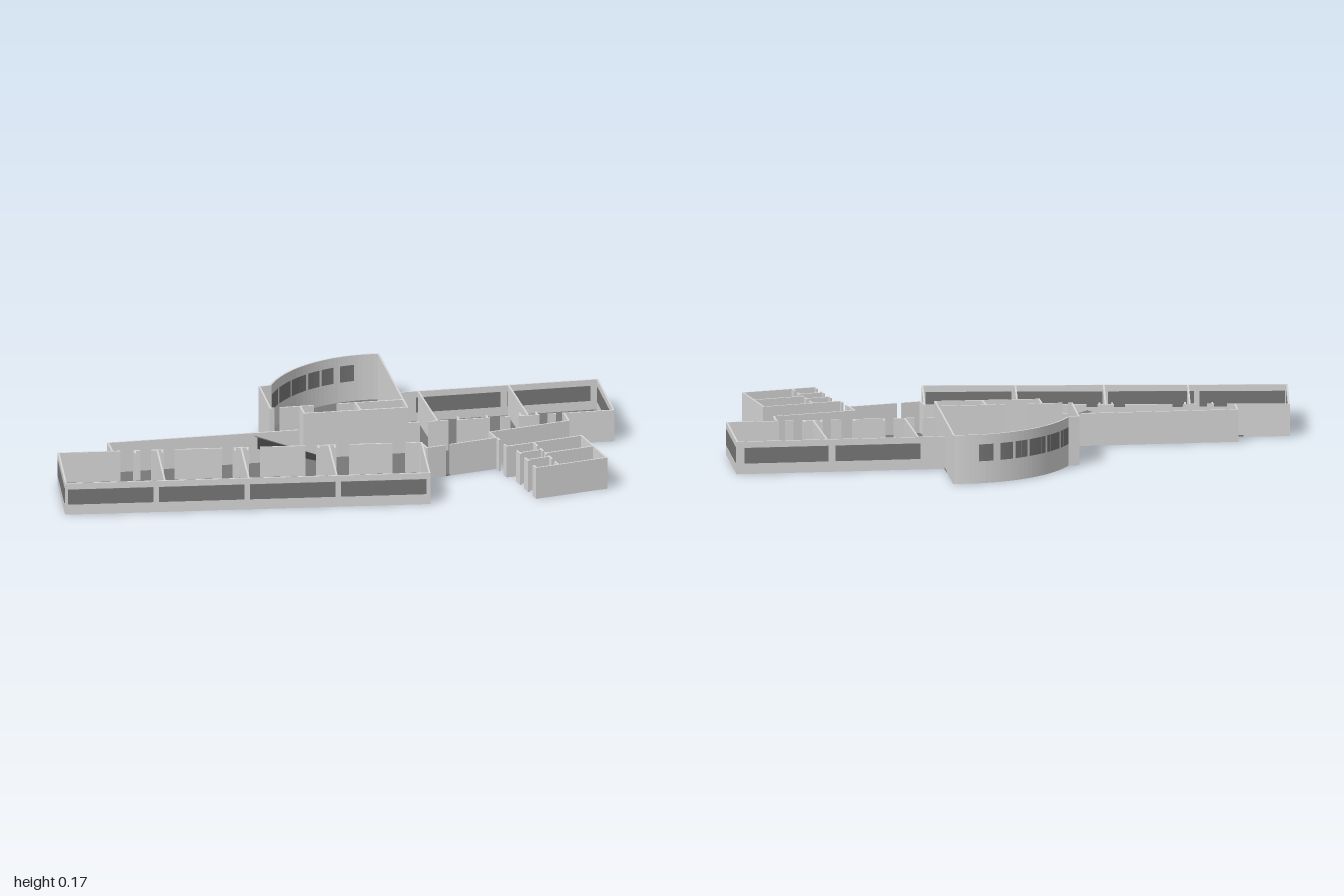
import * as THREE from 'three';

const LOW = 0.11, TALL = 0.165, T = 0.006;

export function createModel() {
  const model = new THREE.Group();
  model.name = 'openPlanBuilding';
  const mat = (name, color, side = THREE.FrontSide) => {
    const m = new THREE.MeshStandardMaterial({ color, side });
    m.name = name;
    return m;
  };
  const wallMat = mat('wallGrey', 0xd8d8d8);
  const floorMat = mat('floorGrey', 0x787878);
  const glassMat = mat('windowGrey', 0x787878);
  const rampMat = mat('rampGrey', 0x484848, THREE.DoubleSide);

  const lerp = (p, q, t) => [p[0] + (q[0] - p[0]) * t, p[1] + (q[1] - p[1]) * t];
  // Upright slab standing on the line p-q
  function slab(name, p, q, y0, y1, thick, material, extra = 0) {
    const dx = q[0] - p[0], dz = q[1] - p[1];
    const mesh = new THREE.Mesh(
      new THREE.BoxGeometry(Math.hypot(dx, dz) + extra, y1 - y0, thick), material);
    mesh.position.set((p[0] + q[0]) / 2, (y0 + y1) / 2, (p[1] + q[1]) / 2);
    mesh.rotation.y = -Math.atan2(dz, dx);
    mesh.name = name;
    model.add(mesh);
  }
  // Wall with optional door gaps, given as [from, to] fractions of its length
  function wall(name, p, q, h = LOW, gaps = []) {
    let t = 0;
    for (const [a, b] of [...gaps, [1, 1]]) {
      if (a > t) slab(name, lerp(p, q, t), lerp(p, q, a), 0, h, T, wallMat, gaps.length ? 0 : T * 0.8);
      t = b;
    }
  }
  const glass = (name, p, q, a, b, y0 = 0.036, y1 = 0.089) =>
    slab(name, lerp(p, q, a), lerp(p, q, b), y0, y1, T + 0.0035, glassMat);
  // Flat sheet from corner points
  function sheet(name, points, material) {
    const g = new THREE.BufferGeometry();
    g.setAttribute('position', new THREE.Float32BufferAttribute(points.flat(), 3));
    g.setIndex(points.length === 4 ? [0, 1, 2, 0, 2, 3] : [0, 1, 2]);
    g.computeVertexNormals();
    const mesh = new THREE.Mesh(g, material);
    mesh.name = name;
    model.add(mesh);
  }

  // Curved hall outline, by angle in degrees
  const onArc = (deg) => {
    const a = THREE.MathUtils.degToRad(deg);
    return [0.235 + 0.4 * Math.cos(a), -0.133 + 0.4 * Math.sin(a)];
  };
  const ARC0 = -142.5, ARC1 = -72, STEPS = 28;
  const arc = Array.from({ length: STEPS + 1 }, (_, i) => onArc(ARC0 + (ARC1 - ARC0) * i / STEPS));

  // Corners of the two wings
  const L = { fl: [-0.997, 0.08], fr: [0.157, 0.439], br: [0.238, 0.168], bl: [-0.914, -0.192] };
  const W = { bl: [0.32, -0.293], br: [0.997, -0.156], fr: [0.94, 0.128], fl: [0.262, -0.018] };
  const hallL = [-0.162, -0.18], hallR = [0.275, -0.09];
  const lobbyL = [-0.075, -0.094];
  const backL = [-0.727, -0.217], backR = [-0.1, -0.092];

  // Floor
  const outline = [L.fl, L.fr, L.br, [0.236, 0.222], [0.485, 0.222], [0.485, 0.164], [0.765, 0.164],
    [0.778, 0.093], W.fr, W.br, W.bl, ...arc.slice().reverse(), [-0.12, -0.38], hallL,
    [-0.08, -0.163], [-0.075, -0.09], backL, [-0.742, -0.142], L.bl];
  const shape = new THREE.Shape(outline.map(([x, z]) => new THREE.Vector2(x, -z)));
  const floor = new THREE.Mesh(
    new THREE.ExtrudeGeometry(shape, { depth: 0.004, bevelEnabled: false }), floorMat);
  floor.rotation.x = -Math.PI / 2;
  floor.name = 'floor';
  model.add(floor);

  // Left wing: outside walls, four rooms, doors to the corridor
  wall('leftWingFront', L.fl, L.fr);
  wall('leftWingEnd', L.fl, L.bl);
  wall('leftWingInnerEnd', L.fr, L.br);
  glass('leftWingEndWindow', L.fl, L.bl, 0.04, 0.96);
  for (let i = 0; i < 4; i++)
    glass('leftWingWindow', L.fl, L.fr, i / 4 + 0.006, i / 4 + 0.241);
  for (const t of [0.272, 0.503, 0.745])
    wall('leftWingDivider', lerp(L.fl, L.fr, t), lerp(L.bl, L.br, t));
  wall('leftCorridorWall', L.bl, L.br, LOW,
    [[0.17, 0.205], [0.225, 0.255], [0.29, 0.32], [0.45, 0.48], [0.525, 0.555],
      [0.68, 0.71], [0.765, 0.8], [0.92, 0.955]]);
  // Door reveals beside the corridor doors
  for (const t of [0.21, 0.285, 0.485, 0.52, 0.715, 0.76]) {
    const p = lerp(L.bl, L.br, t);
    wall('leftDoorReveal', p, [p[0] - 0.007, p[1] + 0.022]);
  }
  wall('corridorBackWall', backL, backR);
  wall('corridorEndWall', backL, [-0.742, -0.142]);

  // Right wing: a small room and two large ones
  wall('rightWingBack', W.bl, W.br);
  wall('rightWingEnd', W.br, W.fr);
  glass('rightWingEndWindow', W.br, W.fr, 0.045, 0.975);
  glass('rightWingWindow', W.bl, W.br, 0.115, 0.525);
  glass('rightWingWindow', W.bl, W.br, 0.56, 0.965);
  for (const t of [0.126, 0.566])
    wall('rightWingDivider', lerp(W.bl, W.br, t), lerp(W.fl, W.fr, t + 0.02));
  wall('rightCorridorWall', W.fl, W.fr, LOW,
    [[0.06, 0.1], [0.2, 0.24], [0.4, 0.45], [0.5, 0.54], [0.64, 0.68], [0.72, 0.75]]);
  for (const t of [0.25, 0.39, 0.55, 0.63]) {
    const p = lerp(W.fl, W.fr, t);
    wall('rightDoorReveal', p, [p[0] + 0.005, p[1] - 0.024]);
  }

  // Entrance front
  wall('entranceFront', [0.236, 0.22], [0.483, 0.22], LOW, [[0.27, 0.33]]);
  wall('entranceSide', [0.236, 0.17], [0.236, 0.22]);
  wall('entranceSide', [0.483, 0.163], [0.483, 0.22]);
  wall('corridorFront', [0.483, 0.163], [0.765, 0.163]);
  wall('corridorFrontEnd', [0.765, 0.163], [0.778, 0.093]);

  // Curved hall: three wide and three narrow windows
  for (let i = 0; i < STEPS; i++)
    slab('hallCurvedWall', arc[i], arc[i + 1], 0, TALL, T, wallMat, 0.0005);
  for (const [from, width] of [[-142, 8.5], [-132, 10], [-120.5, 10], [-109, 6.5], [-101, 6.5], [-91, 7]])
    for (let i = 0; i < 4; i++)
      glass('hallWindow', onArc(from + width * i / 4), onArc(from + width * (i + 1) / 4),
        0, 1, 0.075, 0.132);
  wall('hallShoulder', [-0.12, -0.38], arc[0], TALL);
  wall('hallLeftWall', [-0.12, -0.38], hallL, TALL);
  wall('hallRightWall', arc[STEPS], W.fl, TALL);
  wall('hallFrontWall', hallL, hallR, TALL, [[0.03, 0.07], [0.33, 0.5]]);

  // Lobby
  wall('lobbyFrontWall', lobbyL, W.fl, TALL);
  wall('lobbyDivider', [0.118, -0.121], [0.11, -0.055], TALL);
  wall('lobbyEnd', [-0.065, -0.155], lobbyL, TALL);

  // Sloping ramp in the corridor with a dark side
  sheet('ramp', [[-0.257, 0.11, -0.104], [-0.25, 0.11, -0.074], [0, 0.02, 0]], floorMat);
  sheet('rampSide', [[-0.25, 0.07, -0.074], [0, 0.005, 0], [0, 0.02, 0], [-0.25, 0.11, -0.074]], rampMat);

  // Detached washroom block, without a floor
  const [x0, x1, x2] = [0.503, 0.582, 0.753];
  const [z0, z1] = [0.307, 0.527];
  wall('washroomBack', [x0 - 0.015, z0], [x2, z0]);
  wall('washroomFront', [x0, z1], [x2, z1]);
  wall('washroomSide', [x2, z0], [x2, z1]);
  wall('washroomDivider', [x1, 0.413], [x2, 0.413]);
  for (const z of [0.378, 0.447]) wall('washroomStall', [x0, z], [x1, z]);
  wall('washroomDoors', [x0, z0], [x0, z1], LOW,
    [[0.02, 0.22], [0.38, 0.54], [0.7, 0.88]]);
  wall('washroomInnerWall', [x1, z0], [x1, z1], LOW,
    [[0.16, 0.27], [0.39, 0.45], [0.54, 0.6], [0.75, 0.86]]);
  wall('washroomLink', [0.486, 0.22], [0.486, z0], LOW, [[0.3, 0.75]]);

  return model;
}
